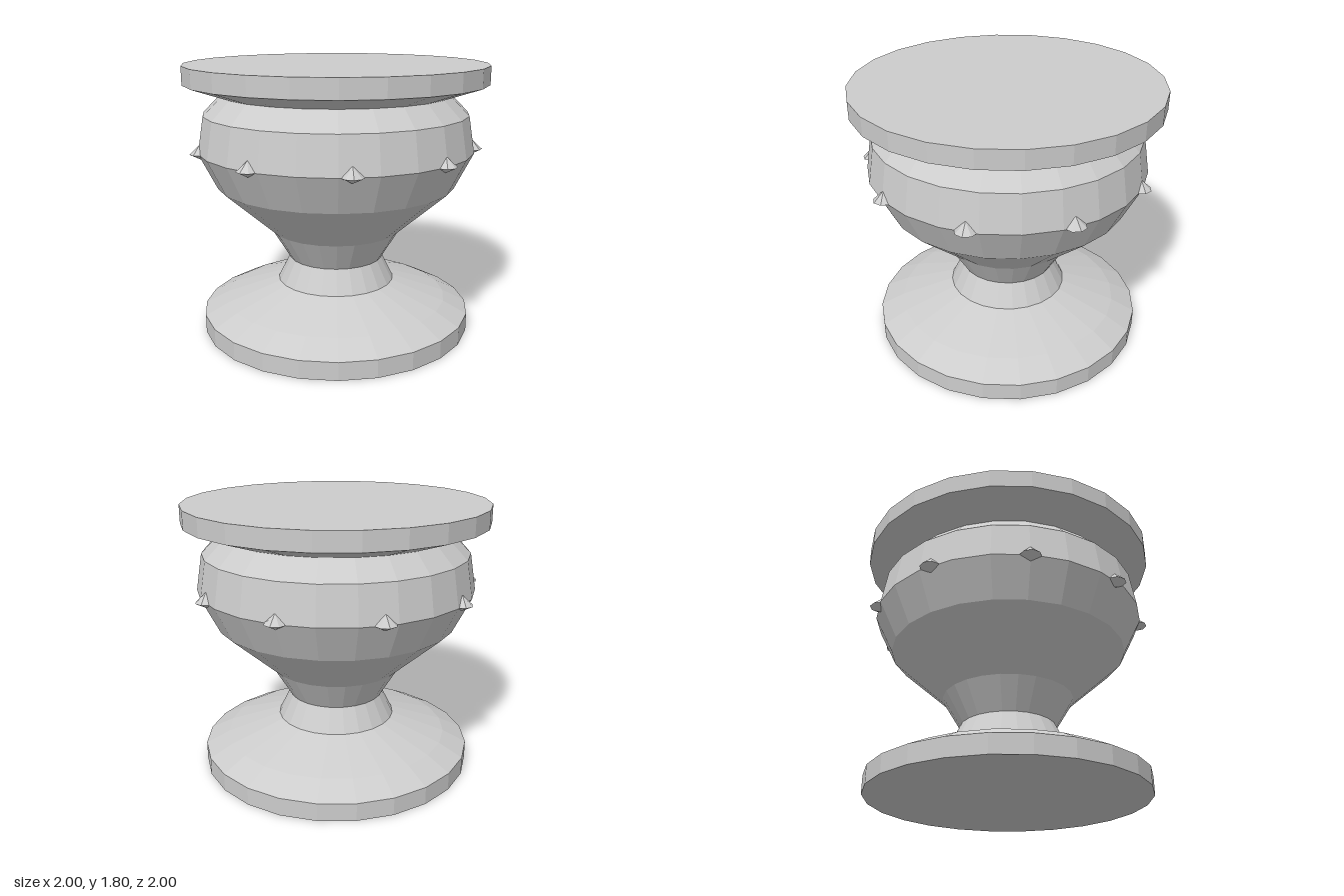
import * as THREE from 'three';

const SIDES = 24;

export function createModel() {
  const group = new THREE.Group();
  const stone = new THREE.MeshStandardMaterial({ color: 0xcccccc });
  stone.name = 'stone grey';
  stone.flatShading = true;

  // Turned part from [radius, height] pairs, listed bottom to top
  const turned = (name, profile, sides = SIDES) => {
    const points = profile.map(([r, y]) => new THREE.Vector2(r, y));
    const mesh = new THREE.Mesh(new THREE.LatheGeometry(points, sides), stone);
    mesh.name = name;
    return mesh;
  };

  group.add(
    turned('foot', [[0, 0], [0.92, 0], [0.92, 0.12], [0.76, 0.2], [0.4, 0.32]]),
    turned('stem', [[0.4, 0.32], [0.32, 0.48], [0.44, 0.68]]),
    turned('bowl', [[0.44, 0.68], [0.8, 1.0], [0.92, 1.24], [0.88, 1.48], [0.76, 1.6]]),
    turned('rim', [[0.76, 1.6], [1, 1.68], [1, 1.8], [0, 1.8]])
  );

  // Ring of pointed studs around the widest part of the bowl
  const studs = new THREE.Group();
  studs.name = 'studs';
  const count = 9;
  for (let i = 0; i < count; i++) {
    const angle = (i / count) * Math.PI * 2;
    const stud = turned('stud', [[0, -0.035], [0.07, 0], [0, 0.065]], 8);
    stud.position.set(0.905 * Math.cos(angle), 1.24, 0.905 * Math.sin(angle));
    stud.rotation.y = -angle;
    studs.add(stud);
  }
  group.add(studs);

  return group;
}
